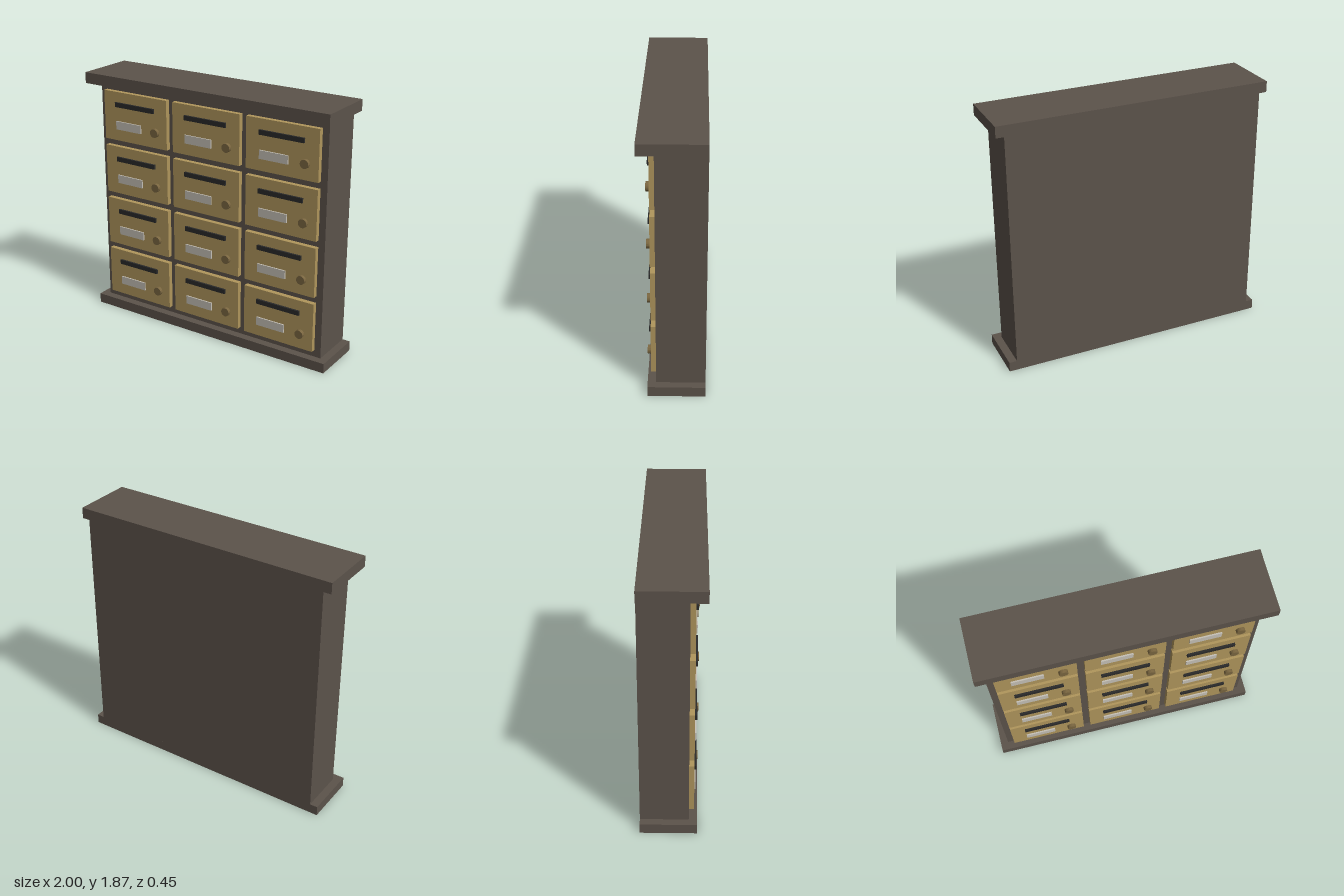
import * as THREE from 'three';

const material = (color) => new THREE.MeshStandardMaterial({ color, flatShading: true });

export function createModel() {
  const model = new THREE.Group();
  model.name = 'mailboxCabinet';

  const frame = material(0x5c534b);
  const brass = material(0xb0965c);
  const darkBrass = material(0x7a6640);
  const black = material(0x2a2a2a);
  const paper = material(0xc6c1b7);

  // Box with its back face at z0 and its front face at z1
  function box(parent, name, mat, w, h, x, y, z0, z1) {
    const mesh = new THREE.Mesh(new THREE.BoxGeometry(w, h, z1 - z0), mat);
    mesh.position.set(x, y, (z0 + z1) / 2);
    mesh.name = name;
    parent.add(mesh);
  }

  // Cabinet: carcass, plinth and overhanging top
  const back = -0.224;
  const bodyFront = 0.112;
  box(model, 'body', frame, 1.886, 1.717, 0, 0.9315, back, bodyFront);
  box(model, 'base', frame, 2, 0.073, 0, 0.0365, back, 0.17);
  box(model, 'topCap', frame, 2, 0.08, 0, 1.83, back, 0.224);

  // Doors, each with a mail slot, a name plate and a round lock
  const doorFront = 0.148;
  const knobGeometry = new THREE.CylinderGeometry(0.032, 0.032, 0.025, 16).rotateX(Math.PI / 2);
  for (let row = 0; row < 4; row++) {
    for (let col = 0; col < 3; col++) {
      const door = new THREE.Group();
      door.name = `door${row + 1}_${col + 1}`;
      door.position.set((col - 1) * 0.613, 0.308 + row * 0.416, 0);
      box(door, 'doorPanel', brass, 0.56, 0.366, 0, 0, bodyFront, doorFront);
      box(door, 'mailSlot', black, 0.346, 0.034, 0, 0.09, doorFront, 0.163);
      box(door, 'namePlate', paper, 0.224, 0.062, -0.059, -0.066, doorFront, 0.158);
      const knob = new THREE.Mesh(knobGeometry, darkBrass);
      knob.name = 'lock';
      knob.position.set(0.183, -0.066, doorFront + 0.0125);
      door.add(knob);
      model.add(door);
    }
  }
  return model;
}
